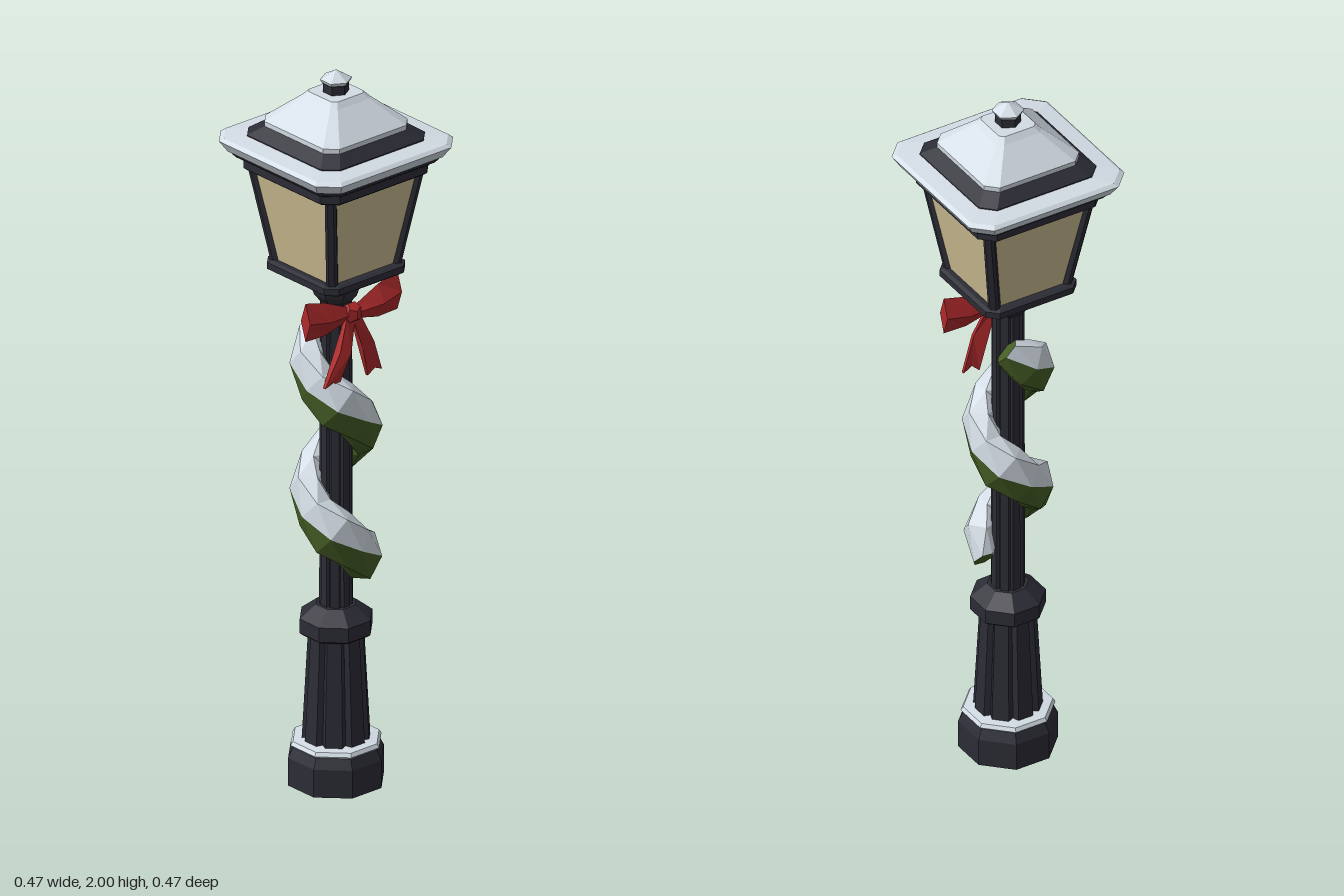
import * as THREE from 'three';

const paint = (name, color) => Object.assign(new THREE.MeshStandardMaterial({ color }), { name });

// Facets between equal-length rings of [x, y, z]; sides from..to only, optional end caps
function loft(rings, caps = true, from = 0, to = rings[0].length) {
  const pos = [], n = rings[0].length;
  const tri = (a, b, c) => pos.push(...a, ...b, ...c);
  for (let i = 0; i < rings.length - 1; i++) {
    for (let j = from; j < to; j++) {
      const k = (j + 1) % n;
      const a = rings[i][j], b = rings[i][k], c = rings[i + 1][k], d = rings[i + 1][j];
      tri(a, b, c);
      tri(a, c, d);
    }
  }
  if (caps) {
    const first = rings[0], last = rings[rings.length - 1];
    for (let j = 1; j < n - 1; j++) {
      tri(first[0], first[j + 1], first[j]);
      tri(last[0], last[j], last[j + 1]);
    }
  }
  const g = new THREE.BufferGeometry();
  g.setAttribute('position', new THREE.Float32BufferAttribute(pos, 3));
  g.computeVertexNormals();
  return g;
}

// Square ring with cut corners, counterclockwise from above
function cutSquare([y, h, c], cx = 0, cz = 0) {
  const k = h - c;
  return [[h, k], [h, -k], [k, -h], [-k, -h], [-h, -k], [-h, k], [-k, h], [k, h]]
    .map(([x, z]) => [cx + x, y, cz + z]);
}

// Octagon ring with a flat side to the front; r is the half width
function octagon([y, r]) {
  return Array.from({ length: 8 }, (_, i) => {
    const a = (i + 0.5) * Math.PI / 4, q = r / Math.cos(Math.PI / 8);
    return [Math.cos(a) * q, y, -Math.sin(a) * q];
  });
}

// Eight ribs with a groove between each pair
function fluted([y, r]) {
  const ring = [];
  for (let i = 0; i < 8; i++) {
    for (const [da, s] of [[-0.25, 1], [0.25, 1], [Math.PI / 8, 0.86]]) {
      const a = i * Math.PI / 4 + da;
      ring.push([Math.cos(a) * r * s, y, -Math.sin(a) * r * s]);
    }
  }
  return ring;
}

export function createModel() {
  const model = new THREE.Group();
  model.name = 'streetLamp';
  const metal = paint('dark iron', 0x2c2c36);
  const snow = paint('snow', 0xd3dce5);
  const glass = paint('warm glass', 0xcdbe94);
  const green = paint('garland green', 0x465e25);
  const red = paint('ribbon red', 0xb02a2c);

  const add = (name, geometry, material, parent = model) => {
    const mesh = new THREE.Mesh(geometry, material);
    mesh.name = name;
    parent.add(mesh);
    return mesh;
  };
  const oct = (name, mat, profile) => add(name, loft(profile.map(octagon)), mat);
  const square = (name, mat, profile) => add(name, loft(profile.map(p => cutSquare(p))), mat);

  // Pedestal and pole
  oct('base', metal, [[0, 0.12], [0.078, 0.12], [0.107, 0.107]]);
  oct('baseSnow', snow, [[0.104, 0.106], [0.112, 0.114], [0.122, 0.108], [0.126, 0.07]]);
  add('pedestal', loft([[0.115, 0.09], [0.43, 0.073]].map(fluted)), metal);
  oct('collar', metal, [[0.418, 0.083], [0.425, 0.091], [0.465, 0.091], [0.5, 0.05]]);
  add('pole', loft([[0.49, 0.044], [1.38, 0.042]].map(fluted)), metal);
  oct('lanternCup', metal, [[1.352, 0.038], [1.375, 0.055], [1.41, 0.066], [1.44, 0.08]]);

  // Lantern
  square('lanternFloor', metal, [[1.435, 0.128, 0.025], [1.442, 0.138, 0.027], [1.46, 0.138, 0.027], [1.465, 0.128, 0.025]]);
  square('lanternGlass', glass, [[1.46, 0.114, 0.01], [1.73, 0.158, 0.01]]);
  const posts = new THREE.Group();
  posts.name = 'cornerPosts';
  model.add(posts);
  for (let i = 0; i < 4; i++) {
    const post = loft([[1.46, 0.108], [1.73, 0.151]].map(([y, c]) => cutSquare([y, 0.016, 0.011], c, c)));
    add('cornerPost', post, metal, posts).rotation.y = i * Math.PI / 2;
  }
  square('eaves', metal, [[1.72, 0.176, 0.034], [1.727, 0.185, 0.036], [1.748, 0.185, 0.036],
    [1.758, 0.2, 0.038], [1.778, 0.216, 0.042], [1.79, 0.216, 0.042]]);
  square('eavesSnow', snow, [[1.775, 0.217, 0.043], [1.804, 0.235, 0.047], [1.812, 0.225, 0.045], [1.818, 0.17, 0.034]]);
  square('roofStep', metal, [[1.805, 0.178, 0.035], [1.82, 0.178, 0.035], [1.848, 0.14, 0.03]]);
  square('roofSnow', snow, [[1.84, 0.144, 0.03], [1.858, 0.144, 0.03], [1.925, 0.068, 0.014], [1.94, 0.055, 0.011]]);

  // Finial
  const hex = ([y, r]) => Array.from({ length: 6 }, (_, i) => {
    const a = (i + 0.5) * Math.PI / 3;
    return [Math.cos(a) * r, y, -Math.sin(a) * r];
  });
  add('finialNeck', loft([[1.935, 0.034], [1.962, 0.034], [1.972, 0.04]].map(hex)), metal);
  add('finialSnow', loft([[1.968, 0.038], [1.976, 0.042], [2, 0.001]].map(hex)), snow);

  // Garland winding up the pole, snow on its upper half
  const steps = 15, turn = Math.PI * 2, rings = [];
  for (let i = 0; i <= steps; i++) {
    const a = 0.1 + (i / steps) * turn * 1.83;
    const out = new THREE.Vector3(Math.cos(a), 0, Math.sin(a));
    const along = new THREE.Vector3(-Math.sin(a) * 0.072, 0.37 / turn, Math.cos(a) * 0.072).normalize();
    const up = along.clone().cross(out);
    const size = i === 0 || i === steps ? 0.6 : i % 2 ? 1.06 : 0.94;
    const centre = out.clone().multiplyScalar(0.07).setY(0.585 + 0.37 * a / turn);
    rings.push(Array.from({ length: 6 }, (_, j) => {
      const t = j * Math.PI / 3;
      return centre.clone().addScaledVector(out, Math.cos(t) * 0.047 * size)
        .addScaledVector(up, Math.sin(t) * 0.068 * size).toArray();
    }));
  }
  add('garland', loft(rings, true, 3, 6), green);
  add('garlandSnow', loft(rings, false, 0, 3), snow);

  // Ribbon bow: knot, two loops, two tails
  const bow = new THREE.Group();
  bow.name = 'bow';
  bow.position.set(0, 1.335, 0.06);
  model.add(bow);
  add('knot', new THREE.DodecahedronGeometry(0.031), red, bow).scale.z = 0.8;
  const loop = [[0.01, 0, 0.018, 0.012], [0.09, 0.008, 0.046, 0.027], [0.157, 0.018, 0.054, 0.018]]
    .map(([x, y, h, d]) => [[x, y + h, 0], [x, y, d], [x, y - h, 0], [x, y, -d]]);
  for (const side of [1, -1]) {
    add('bowLoop', loft(loop), red, bow).rotation.y = side > 0 ? 0 : Math.PI;
    const outline = [[-0.005, -0.01], [0.02, -0.1], [0.05, -0.19], [0.07, -0.172],
      [0.097, -0.184], [0.058, -0.09], [0.022, -0.005]];
    const shape = new THREE.Shape(outline.map(([x, y]) => new THREE.Vector2(x * side, y)));
    const tail = new THREE.ExtrudeGeometry(shape, { depth: 0.009, bevelEnabled: false });
    const p = tail.attributes.position;
    for (let i = 0; i < p.count; i++) {
      p.setZ(i, p.getZ(i) + 0.016 * Math.sin(-p.getY(i) / 0.19 * Math.PI) - 0.002);
    }
    tail.computeVertexNormals();
    add('bowTail', tail, red, bow);
  }
  return model;
}
